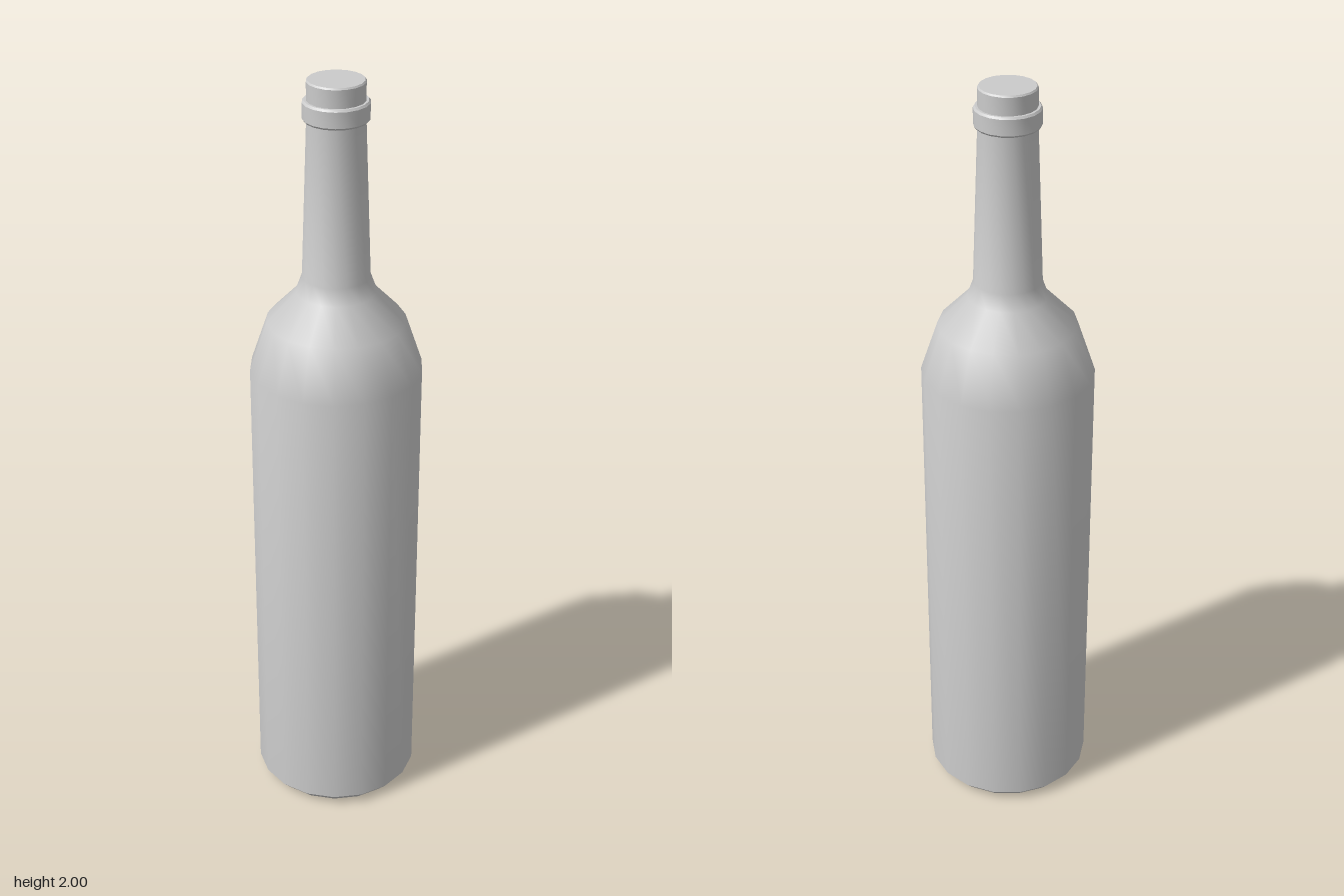
import * as THREE from 'three';
import { toCreasedNormals } from 'three/addons/utils/BufferGeometryUtils.js';

const SIDES = 18;
const material = new THREE.MeshStandardMaterial({ color: 0xcccccc });

// Turns a [radius, height] profile, listed bottom to top, into a named part
function turned(name, profile) {
  const points = profile.map(([r, y]) => new THREE.Vector2(r, y));
  const geometry = new THREE.LatheGeometry(points, SIDES, Math.PI / 2);
  const mesh = new THREE.Mesh(toCreasedNormals(geometry, 0.6), material);
  mesh.name = name;
  return mesh;
}

export function createModel() {
  const bottle = new THREE.Group();
  bottle.name = 'bottle';

  // Base chamfer, straight wall, rounded shoulder and tapering neck
  bottle.add(turned('body', [
    [0, 0], [0.193, 0], [0.218, 0.027], [0.218, 1.26],
    [0.174, 1.39], [0.1, 1.467], [0.085, 1.508], [0.071, 1.91],
  ]));

  // Raised ring below the mouth, with small bevels
  bottle.add(turned('collar', [
    [0.068, 1.903], [0.077, 1.903], [0.081, 1.908],
    [0.081, 1.947], [0.077, 1.952], [0.068, 1.952],
  ]));

  // Closed mouth
  bottle.add(turned('mouth', [
    [0.071, 1.91], [0.071, 1.996], [0.068, 2], [0, 2],
  ]));

  return bottle;
}
